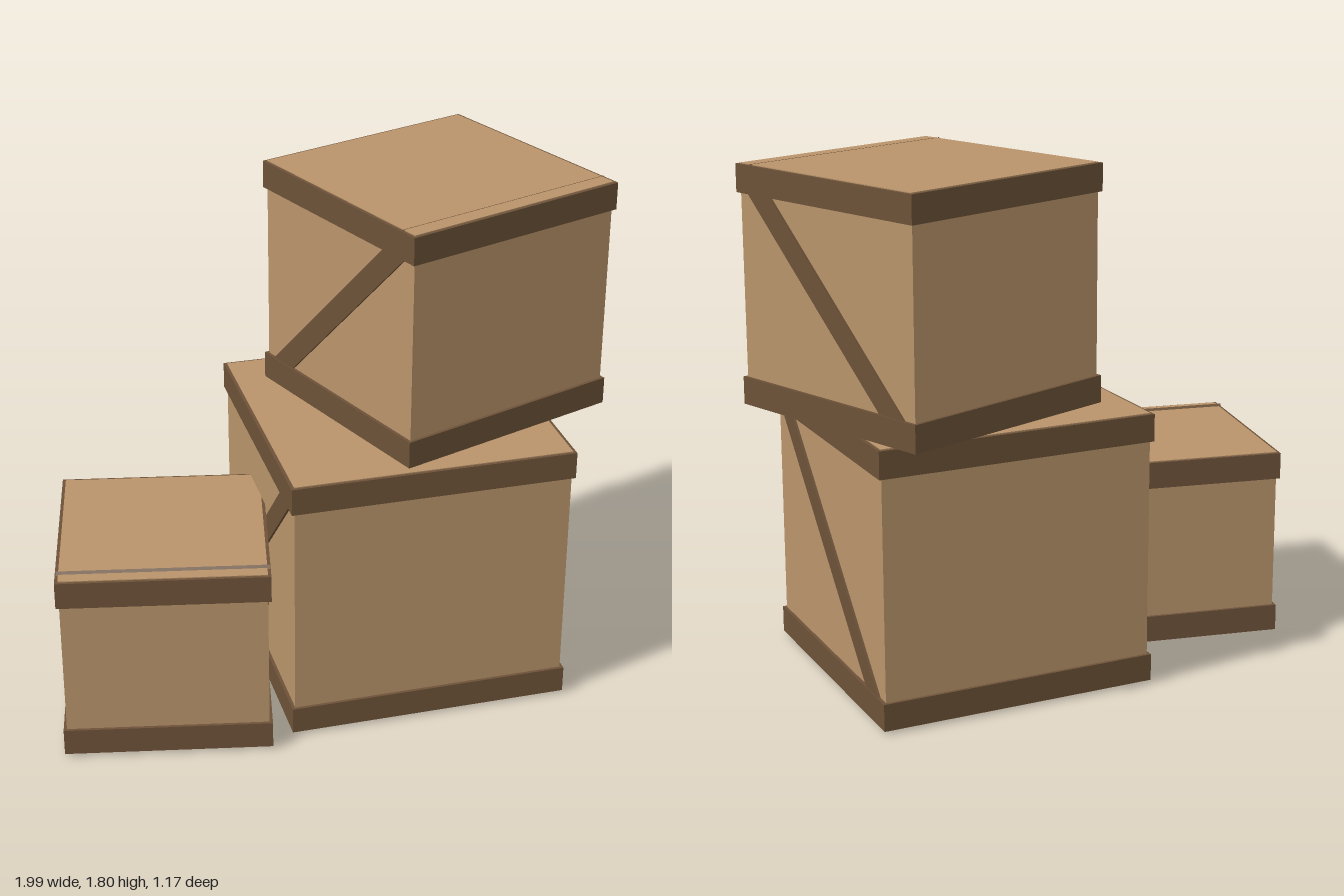
import * as THREE from 'three';

const tan = new THREE.MeshStandardMaterial({ color: 0xb9946b });
tan.name = 'light wood';
const brown = new THREE.MeshStandardMaterial({ color: 0x6d5238 });
brown.name = 'dark wood';

const BAND = 0.095;   // height of the rim bands
const INSET = 0.011;  // how far the panels sit behind the bands
const BRACE = 0.08;   // thickness of the diagonal plank

function box(parent, name, material, w, h, d, y) {
  const mesh = new THREE.Mesh(new THREE.BoxGeometry(w, h, d), material);
  mesh.name = name;
  mesh.position.y = y;
  parent.add(mesh);
  return mesh;
}

// A square crate standing at its own origin; poke is how far the plank corners break through
function crate(name, size, height, poke) {
  const g = new THREE.Group();
  g.name = name;
  const inner = size - 2 * INSET;
  box(g, 'body', tan, inner, height, inner, height / 2);
  box(g, 'bottomBand', brown, size, BAND, size, 0.003 + BAND / 2);
  box(g, 'topBand', brown, size, BAND, size, height - 0.003 - BAND / 2);
  // One plank runs through the whole crate, so it shows on both sides
  const length = 2 * (Math.SQRT2 * (height / 2 + poke) - BRACE / 2);
  const brace = box(g, 'diagonalBrace', brown, size - 0.006, BRACE, length, height / 2);
  brace.rotation.x = -Math.PI / 4;
  return g;
}

export function createModel() {
  const model = new THREE.Group();
  model.name = 'crateStack';
  const crates = [
    // name, size, height, poke, x, y, z, turn
    ['largeCrate', 0.99, 0.962, -0.004, 0.28, 0.01, 0.026, 0],
    ['smallCrate', 0.709, 0.682, 0.008, -0.5775, 0.01, 0.1625, -0.199],
    ['upperCrate', 0.851, 0.822, 0.001, 0.445, 0.979, -0.045, 0.348],
  ];
  for (const [name, size, height, poke, x, y, z, turn] of crates) {
    const c = crate(name, size, height, poke);
    c.position.set(x, y, z);
    c.rotation.y = turn;
    model.add(c);
  }
  return model;
}
